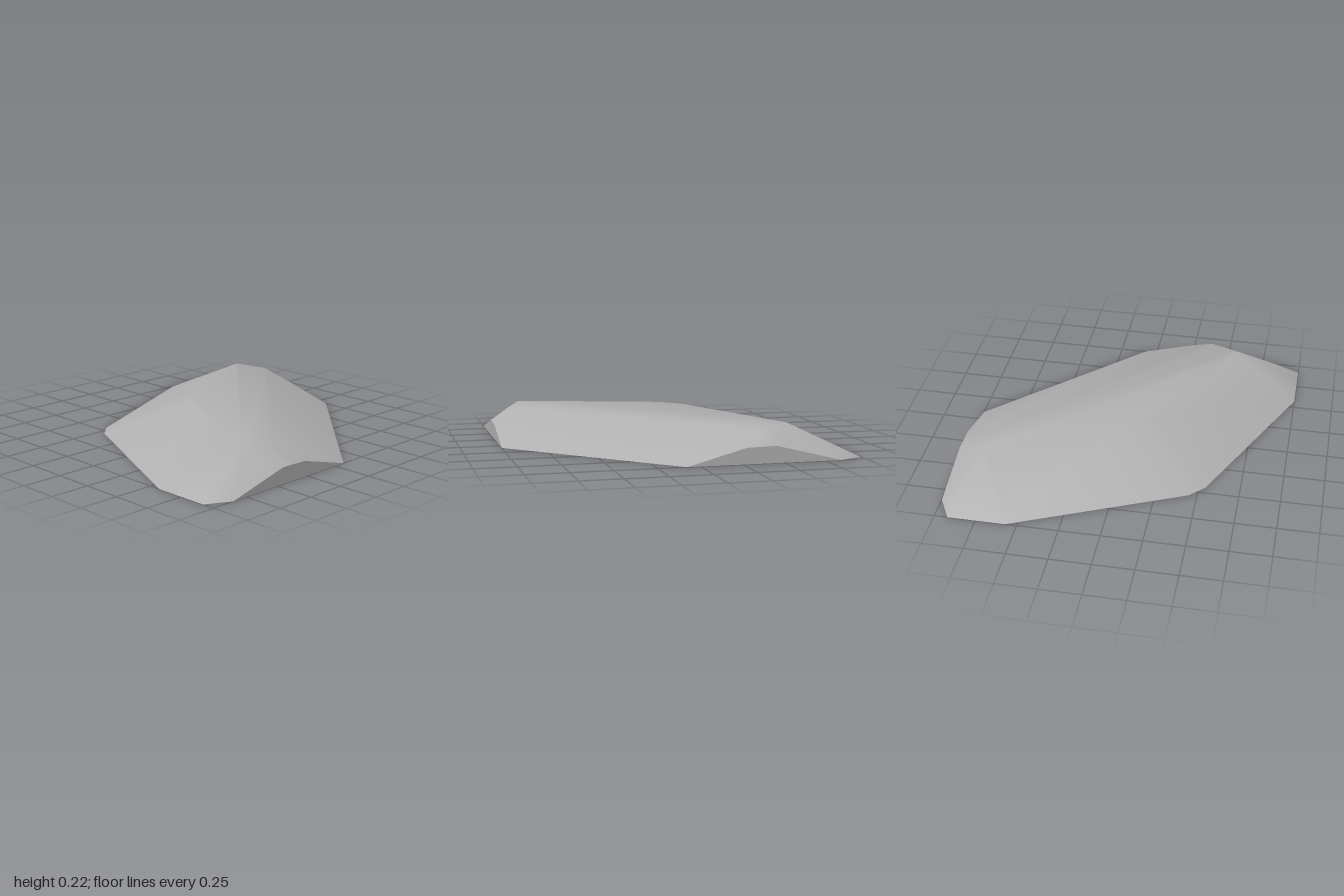
import * as THREE from 'three';
import { ConvexGeometry } from 'three/addons/geometries/ConvexGeometry.js';
import { toCreasedNormals } from 'three/addons/utils/BufferGeometryUtils.js';

// Corners of one half; the stone mirrors across the diagonal x = z
const HALF = [
  // ground outline
  [0.57, 0, -1], [0.92, 0, -1], [1, 0, -0.85], [1, 0, 0.08], [-0.45, 0, -0.54],
  // top of the cut end wall
  [1, 0.1, -0.45], [1, 0.095, -0.27],
  // ridge end and shoulder
  [0.8, 0.203, -0.58], [0.89, 0.187, -0.4],
  // crown
  [-0.05, 0.22, -0.17],
];

export function createModel() {
  const group = new THREE.Group();
  group.name = 'flatStone';

  const stoneGrey = new THREE.MeshStandardMaterial({ color: 0xb0b0b0 });
  stoneGrey.name = 'stoneGrey';

  const points = [];
  for (const [x, y, z] of HALF) {
    points.push(new THREE.Vector3(x, y, z), new THREE.Vector3(z, y, x));
  }

  // Soft facets on top, sharp edges at the base and cut ends
  const stone = new THREE.Mesh(toCreasedNormals(new ConvexGeometry(points), 0.6), stoneGrey);
  stone.name = 'stone';
  group.add(stone);
  return group;
}
